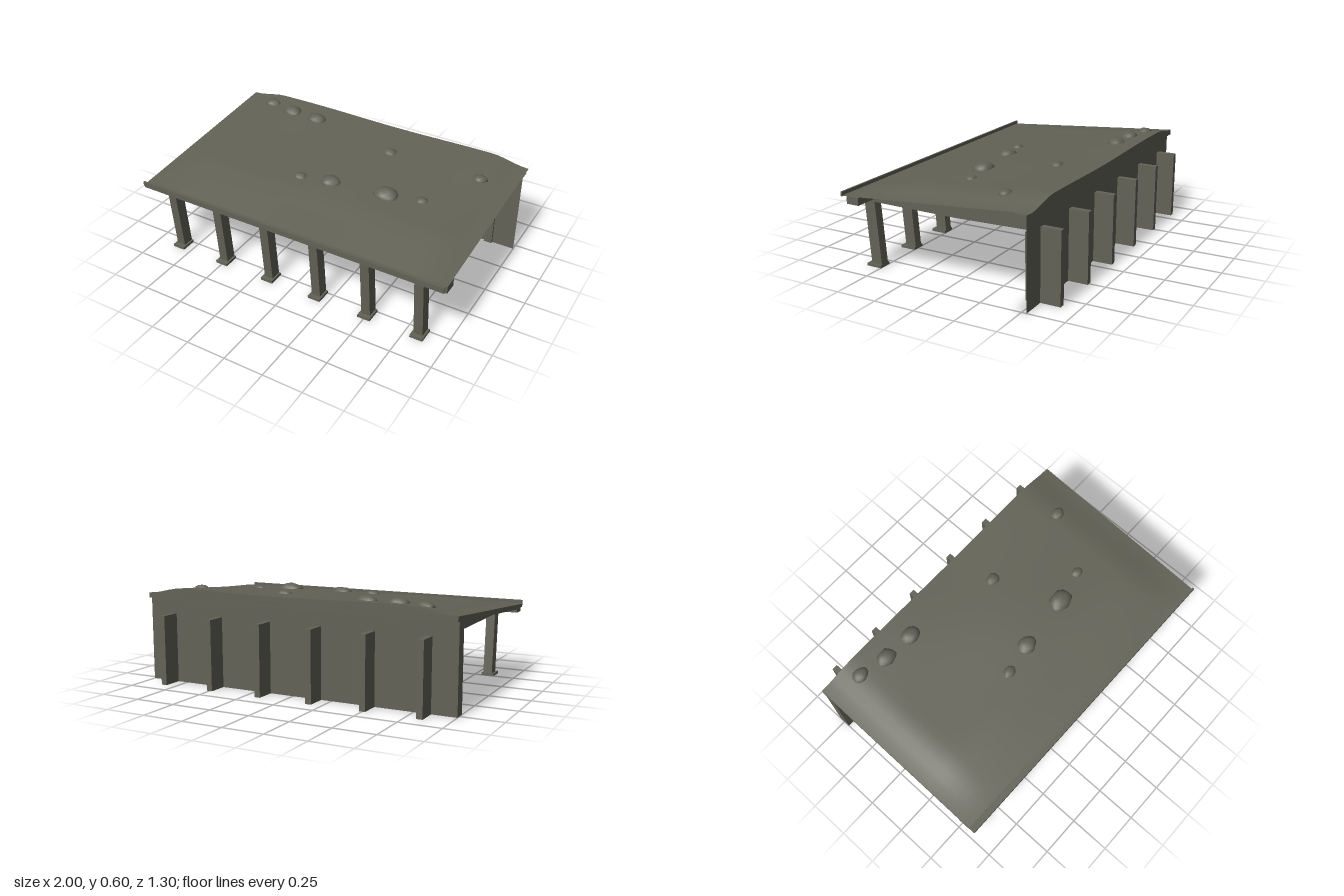
import * as THREE from 'three';
import { mergeVertices } from 'three/addons/utils/BufferGeometryUtils.js';

const concrete = new THREE.MeshStandardMaterial({ color: 0x626256 });
concrete.name = 'weathered concrete';

const BAYS = [-0.833, -0.5, -0.167, 0.167, 0.5, 0.833];
const FRONT = 0.61, BACK = -0.555;

// Height of the sloping roof plane, and of the soil layer lying on it
const roofY = z => 0.456 + (FRONT - z) * 0.0755;
const soilY = (x, z) => {
  const side = THREE.MathUtils.smoothstep(1 - Math.abs(x), 0, 0.24);
  const front = THREE.MathUtils.clamp((FRONT - z) / 0.32, 0, 1);
  const wave = 0.004 * Math.sin(x * 5 + 1) * Math.cos(z * 6);
  return roofY(z) + side * front * (0.034 + wave);
};

function createPart(name, geometry, parent) {
  const mesh = new THREE.Mesh(geometry, concrete);
  mesh.name = name;
  parent.add(mesh);
  return mesh;
}

// Box given by its limits on each axis
function boxGeo(x0, x1, y0, y1, z0, z1) {
  return new THREE.BoxGeometry(x1 - x0, y1 - y0, z1 - z0)
    .translate((x0 + x1) / 2, (y0 + y1) / 2, (z0 + z1) / 2);
}

// Leaves the +x end of a box open
function openEnd(geo) {
  geo.setIndex(Array.from(geo.index.array).slice(6));
  geo.clearGroups();
  return geo;
}

// Moves every vertex by a rule
function reshape(geo, rule) {
  const p = geo.attributes.position, v = new THREE.Vector3();
  for (let i = 0; i < p.count; i++) {
    rule(v.fromBufferAttribute(p, i));
    p.setXYZ(i, v.x, v.y, v.z);
  }
  geo.computeVertexNormals();
  return geo;
}

// Lumpy rounded stone
function rockGeo(rx, ry, rz, seed) {
  let geo = new THREE.IcosahedronGeometry(1, 1);
  geo.deleteAttribute('uv');
  geo.deleteAttribute('normal');
  geo = mergeVertices(geo, 1e-3);
  return reshape(geo, v => {
    const k = 0.96 + 0.08 * Math.sin(v.x * 3 + seed * 2) * Math.cos(v.z * 4 + seed);
    v.multiplyScalar(k);
    v.set(v.x * rx, v.y * ry, v.z * rz);
  });
}

export function createModel() {
  const model = new THREE.Group();
  model.name = 'shelter';

  // Back wall and front edge
  createPart('backWall', openEnd(boxGeo(-1, 1, 0, 0.53, -0.53, -0.46)), model);
  createPart('frontLintel', boxGeo(-1, 1, 0.412, 0.457, 0.53, 0.61), model);
  createPart('gutterFloor', openEnd(boxGeo(-1, 1, 0.435, 0.456, 0.6, 0.645)), model);
  createPart('gutterLip', boxGeo(-1, 1, 0.45, 0.477, 0.641, 0.652), model);

  // Sloping roof slab
  const slab = boxGeo(-1, 1, -0.03, 0, BACK, FRONT);
  createPart('roofSlab', openEnd(reshape(slab, v => { v.y += roofY(v.z); })), model);

  // Soil layer and its upright back edge
  const soil = new THREE.PlaneGeometry(2, FRONT - BACK, 40, 24)
    .rotateX(-Math.PI / 2).translate(0, 0, (FRONT + BACK) / 2);
  createPart('roofSoil', reshape(soil, v => { v.y = soilY(v.x, v.z) + 0.001; }), model);
  const edge = new THREE.PlaneGeometry(2, 1, 40, 1).rotateY(Math.PI);
  createPart('soilBackEdge', reshape(edge, v => {
    v.z = BACK;
    v.y = v.y > 0 ? soilY(v.x, BACK) + 0.001 : roofY(BACK);
  }), model);

  // Rafter profile, drawn in z and y
  const profile = new THREE.Shape([
    [0.53, 0.457], [-0.53, 0.5], [-0.53, 0.4], [0, 0.39], [0.53, 0.396],
  ].map(([z, y]) => new THREE.Vector2(-z, y)));
  const rafterGeo = new THREE.ExtrudeGeometry(profile, { depth: 0.055, bevelEnabled: false })
    .translate(0, 0, -0.0275).rotateY(Math.PI / 2);

  // Leaning front column
  const columnGeo = reshape(boxGeo(-0.028, 0.028, 0.01, 0.415, -0.035, 0.035), v => {
    v.z += v.y > 0.2 ? 0.564 : 0.532;
  });
  const footGeo = boxGeo(-0.04, 0.04, 0, 0.016, 0.497, 0.595);
  const postGeo = boxGeo(-0.026, 0.026, 0, 0.386, -0.462, -0.445);
  const buttressGeo = boxGeo(-0.018, 0.018, 0, 0.425, -0.65, -0.53);

  // One frame at each bay
  for (const x of BAYS) {
    const frame = new THREE.Group();
    frame.name = 'supportFrame';
    frame.position.x = x;
    createPart('rafter', rafterGeo, frame);
    createPart('frontColumn', columnGeo, frame);
    createPart('columnFoot', footGeo, frame);
    createPart('wallPost', postGeo, frame);
    createPart('buttress', buttressGeo, frame);
    model.add(frame);
  }

  // Stones half sunk in the soil: x, z, half width, half depth
  const rocks = [
    [-0.78, -0.45, 0.056, 0.046], [-0.605, -0.415, 0.07, 0.055], [-0.41, -0.405, 0.07, 0.056],
    [0.19, -0.29, 0.05, 0.04], [0.795, -0.29, 0.048, 0.04], [-0.175, 0.175, 0.047, 0.036],
    [0.02, 0.14, 0.068, 0.056], [0.37, 0.1, 0.085, 0.067], [0.58, 0.055, 0.042, 0.034],
  ];
  rocks.forEach(([x, z, rx, rz], i) => {
    const rock = createPart('rock', rockGeo(rx, rx * 0.55, rz, i), model);
    rock.position.set(x, soilY(x, z) - 0.006, z);
  });

  return model;
}
